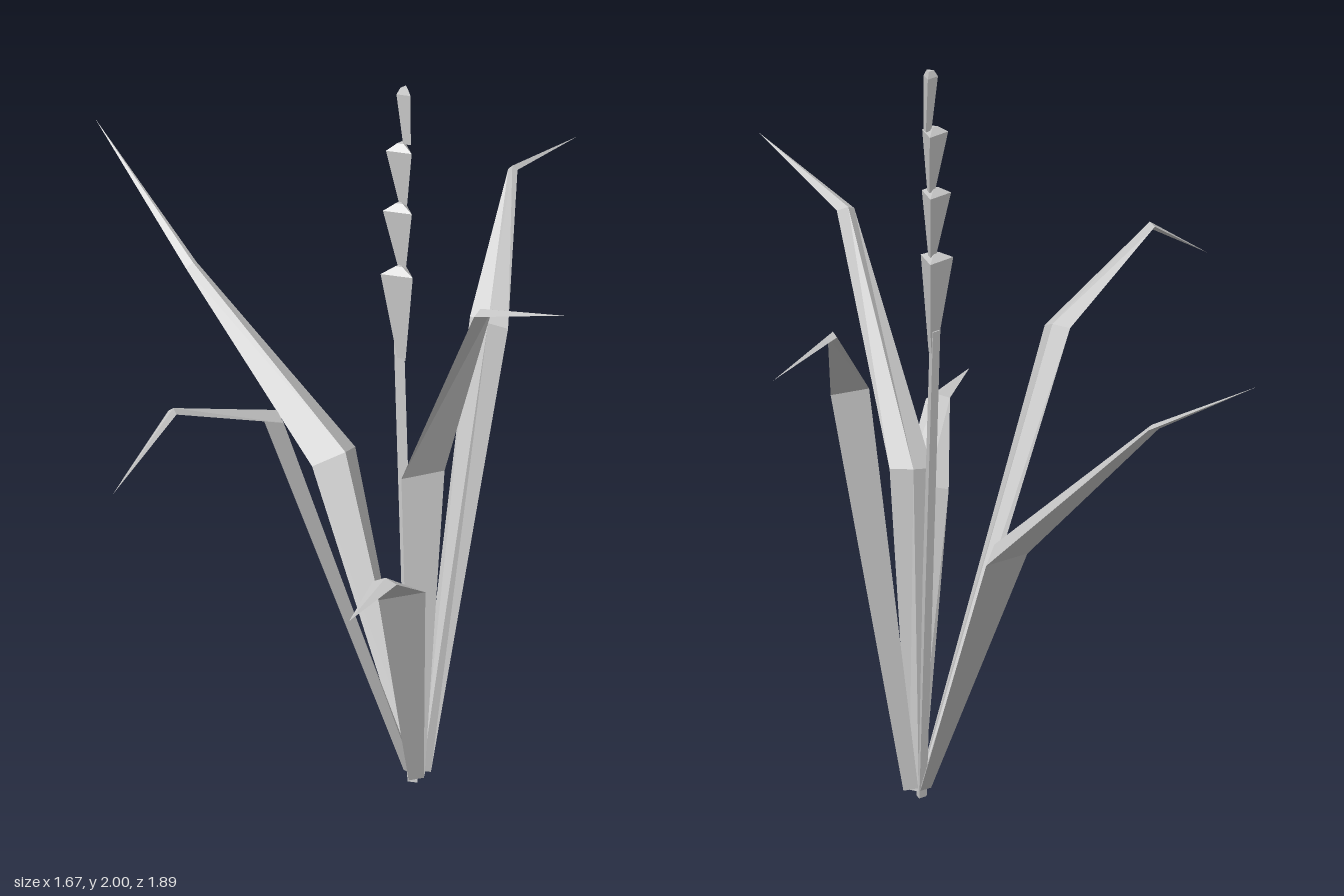
import * as THREE from 'three';

const material = new THREE.MeshStandardMaterial({ color: 0xcccccc, flatShading: true, side: THREE.DoubleSide });
const V = (p) => new THREE.Vector3(...p);

// Skin a row of three-cornered sections, closing both ends
function loft(name, sections) {
  const tris = [];
  const n = sections.length;
  for (let i = 0; i < n - 1; i++) {
    const a = sections[i], b = sections[i + 1];
    for (let j = 0; j < 3; j++) {
      const k = (j + 1) % 3;
      tris.push([a[j], a[k], b[k]], [a[j], b[k], b[j]]);
    }
  }
  const first = sections[0], last = sections[n - 1];
  tris.push([first[2], first[1], first[0]], [last[0], last[1], last[2]]);
  // Turn the skin outwards if the sections run the other way round
  let volume = 0;
  const o = first[0];
  for (const [a, b, c] of tris) {
    volume += a.clone().sub(o).dot(b.clone().sub(o).cross(c.clone().sub(o)));
  }
  if (volume < 0) tris.forEach((t) => t.reverse());
  const geometry = new THREE.BufferGeometry().setFromPoints(tris.flat());
  geometry.computeVertexNormals();
  const mesh = new THREE.Mesh(geometry, material);
  mesh.name = name;
  return mesh;
}

// Leaf: base centre, [left, right] edges at the lower and upper bend, tip
function leaf(name, { base, low, high, tip, ridge = 0.022 }) {
  const across = V(low[1]).sub(V(low[0])).normalize();
  const root = [-0.02, 0.02].map((s) => V(base).addScaledVector(across, s));
  const stations = [root, low.map(V), high.map(V)];
  const end = V(tip);
  const depth = [0.018, ridge, 0.014];
  const middle = (s) => s[0].clone().add(s[1]).multiplyScalar(0.5);
  const sections = stations.map((s, i) => {
    const from = middle(stations[Math.max(i - 1, 0)]);
    const to = i < 2 ? middle(stations[i + 1]) : end;
    const normal = s[1].clone().sub(s[0]).cross(to.clone().sub(from)).normalize();
    if (normal.y < 0) normal.negate();
    return [s[0], s[1], middle(s).addScaledVector(normal, depth[i])];
  });
  sections.push([end, end, end]);
  return loft(name, sections);
}

// Level triangle around a centre, used by the stalk and the florets
function triangle(x, y, z, r) {
  return [0, 1, 2].map((i) => {
    const a = Math.PI + 0.1 + (i * Math.PI * 2) / 3;
    return new THREE.Vector3(x + r * Math.cos(a), y, z + r * Math.sin(a));
  });
}

export function createModel() {
  const plant = new THREE.Group();
  plant.name = 'floweringPlant';

  // Five bent leaves around the stalk
  plant.add(
    leaf('leftSideLeaf', {
      base: [0.135, 0.03, 0.23],
      low: [[-0.305, 1.195, 0.31], [-0.265, 1.185, 0.385]],
      high: [[-0.635, 1.355, 0.535], [-0.62, 1.35, 0.555]],
      tip: [-0.84, 1.21, 0.675],
    }),
    leaf('shortFrontLeaf', {
      base: [0.14, 0.03, 0.27],
      low: [[-0.06, 0.71, 0.54], [0.06, 0.725, 0.565]],
      high: [[-0.15, 0.88, 0.75], [-0.095, 0.875, 0.78]],
      tip: [-0.285, 0.88, 0.945],
    }),
    leaf('tallFrontLeaf', {
      base: [0.155, 0.015, 0.235],
      low: [[0.11, 0.89, 0.24], [0.225, 0.9, 0.25]],
      high: [[0.19, 1.505, 0.575], [0.245, 1.51, 0.56]],
      tip: [0.33, 1.63, 0.88],
    }),
    leaf('rightSideLeaf', {
      base: [0.18, 0.025, 0.215],
      low: [[0.375, 1.215, 0.025], [0.46, 1.19, 0.08]],
      high: [[0.58, 1.475, -0.255], [0.6, 1.475, -0.24]],
      tip: [0.83, 1.445, -0.425],
    }),
    leaf('backLeaf', {
      base: [0.165, 0.045, 0.15],
      low: [[0.0, 0.765, -0.14], [0.14, 0.77, -0.2]],
      high: [[-0.215, 1.2, -0.51], [-0.18, 1.205, -0.525]],
      tip: [-0.31, 1.445, -0.945],
      ridge: 0.055,
    }),
  );

  // Slender stalk
  plant.add(loft('stalk', [
    triangle(0.15, 0, 0.22, 0.016),
    triangle(0.118, 1.28, 0.205, 0.016),
  ]));

  // Stacked florets: narrow foot, wide rim, low peak
  const florets = [
    { x: 0.115, foot: 1.22, rim: 1.475, r: 0.05 },
    { x: 0.118, foot: 1.485, rim: 1.655, r: 0.045 },
    { x: 0.123, foot: 1.665, rim: 1.825, r: 0.04 },
    { x: 0.135, foot: 1.835, rim: 1.982, r: 0.022 },
  ];
  florets.forEach(({ x, foot, rim, r }, i) => {
    const z = 0.21 - i * 0.005;
    plant.add(loft('floret' + (i + 1), [
      triangle(x + 0.008, foot, z, 0.012),
      triangle(x, rim, z, r),
      triangle(x, rim + 0.018, z, 0.011),
    ]));
  });
  return plant;
}
